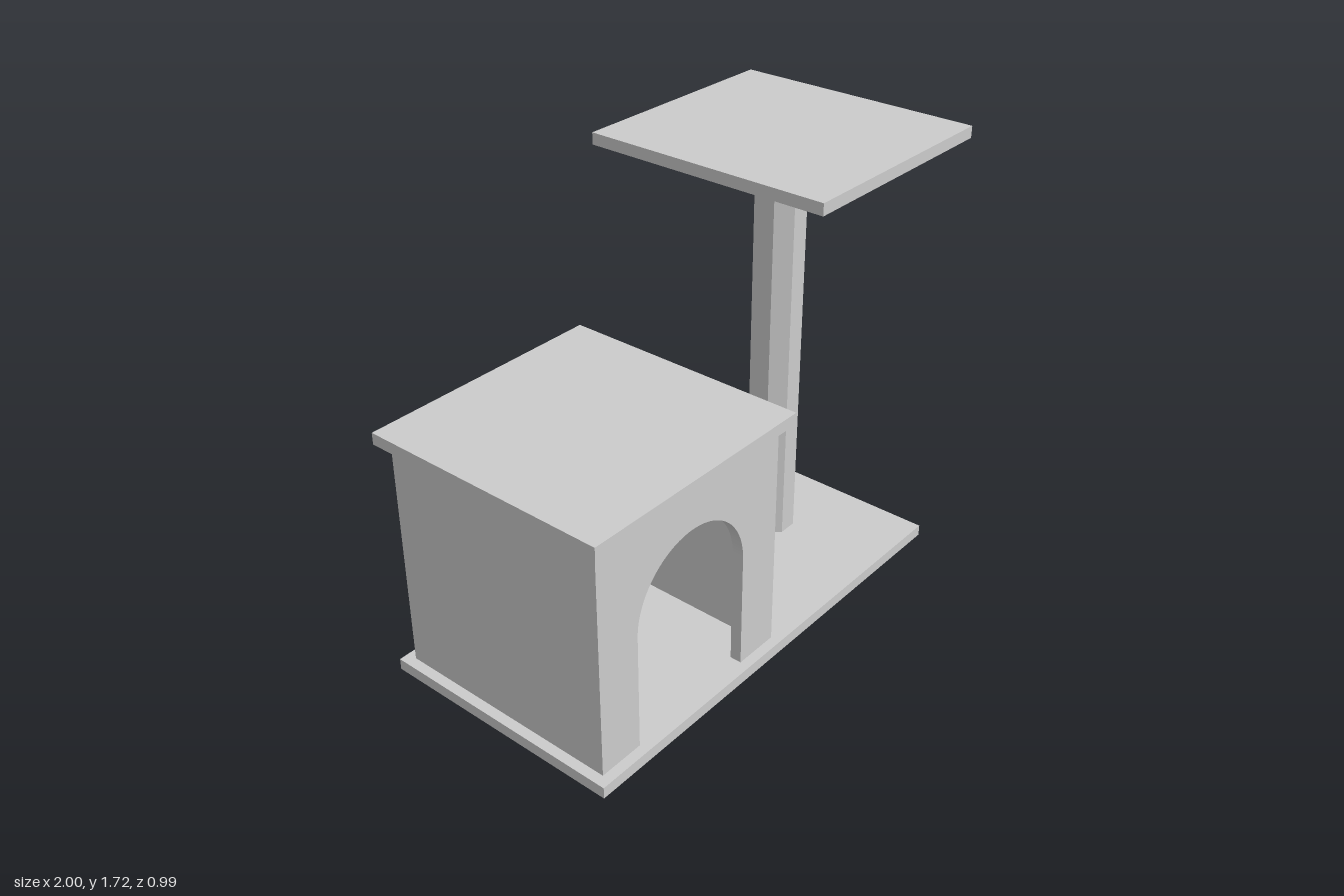
import * as THREE from 'three';

const material = new THREE.MeshStandardMaterial({ color: 0xcccccc, flatShading: true });

const T = 0.045; // board thickness
const DEPTH = 0.99; // depth of the boards
const HOUSE = { x: -0.505, width: 0.91, bottom: T, top: 0.955 };

function add(group, name, geometry, x, y, z) {
  const mesh = new THREE.Mesh(geometry, material);
  mesh.name = name;
  mesh.position.set(x, y, z);
  group.add(mesh);
  return mesh;
}

// Flat board given by its left and right ends and its underside
function board(group, name, x0, x1, y) {
  add(group, name, new THREE.BoxGeometry(x1 - x0, T, DEPTH), (x0 + x1) / 2, y + T / 2, 0);
}

// Front wall with an arched doorway open at the floor
function frontWallGeometry() {
  const half = HOUSE.width / 2;
  const height = HOUSE.top - HOUSE.bottom;
  const r = 0.273;
  const spring = 0.457;
  const shape = new THREE.Shape();
  shape.moveTo(-half, 0);
  shape.lineTo(-r, 0);
  shape.lineTo(-r, spring);
  shape.absarc(0, spring, r, Math.PI, 0, true);
  shape.lineTo(r, 0);
  shape.lineTo(half, 0);
  shape.lineTo(half, height);
  shape.lineTo(-half, height);
  shape.closePath();
  return new THREE.ExtrudeGeometry(shape, { depth: T, bevelEnabled: false, curveSegments: 32 });
}

function createHouse() {
  const house = new THREE.Group();
  house.name = 'house';
  const half = HOUSE.width / 2;
  const height = HOUSE.top - HOUSE.bottom;
  const midY = (HOUSE.top + HOUSE.bottom) / 2;

  add(house, 'frontWall', frontWallGeometry(), HOUSE.x, HOUSE.bottom, half - T);
  add(house, 'backWall', new THREE.BoxGeometry(HOUSE.width, height, T), HOUSE.x, midY, -half + T / 2);

  // Side walls fit between the front and back walls
  for (const side of [-1, 1]) {
    add(house, side > 0 ? 'leftWall' : 'rightWall',
      new THREE.BoxGeometry(T, height, HOUSE.width - 2 * T),
      HOUSE.x + side * (half - T / 2), midY, 0);
  }
  board(house, 'roof', -1, -0.01, HOUSE.top);
  return house;
}

export function createModel() {
  const model = new THREE.Group();
  model.name = 'catTree';

  board(model, 'base', -1, 0.9, 0);
  model.add(createHouse());

  // Eight-sided post with flat faces towards the front and sides
  const perchY = 1.675;
  const radius = 0.091 / Math.cos(Math.PI / 8);
  const post = new THREE.CylinderGeometry(radius, radius, perchY - T, 8);
  post.rotateY(Math.PI / 8);
  add(model, 'post', post, 0.545, (perchY + T) / 2, 0);

  board(model, 'perch', 0.09, 1, perchY);
  return model;
}
